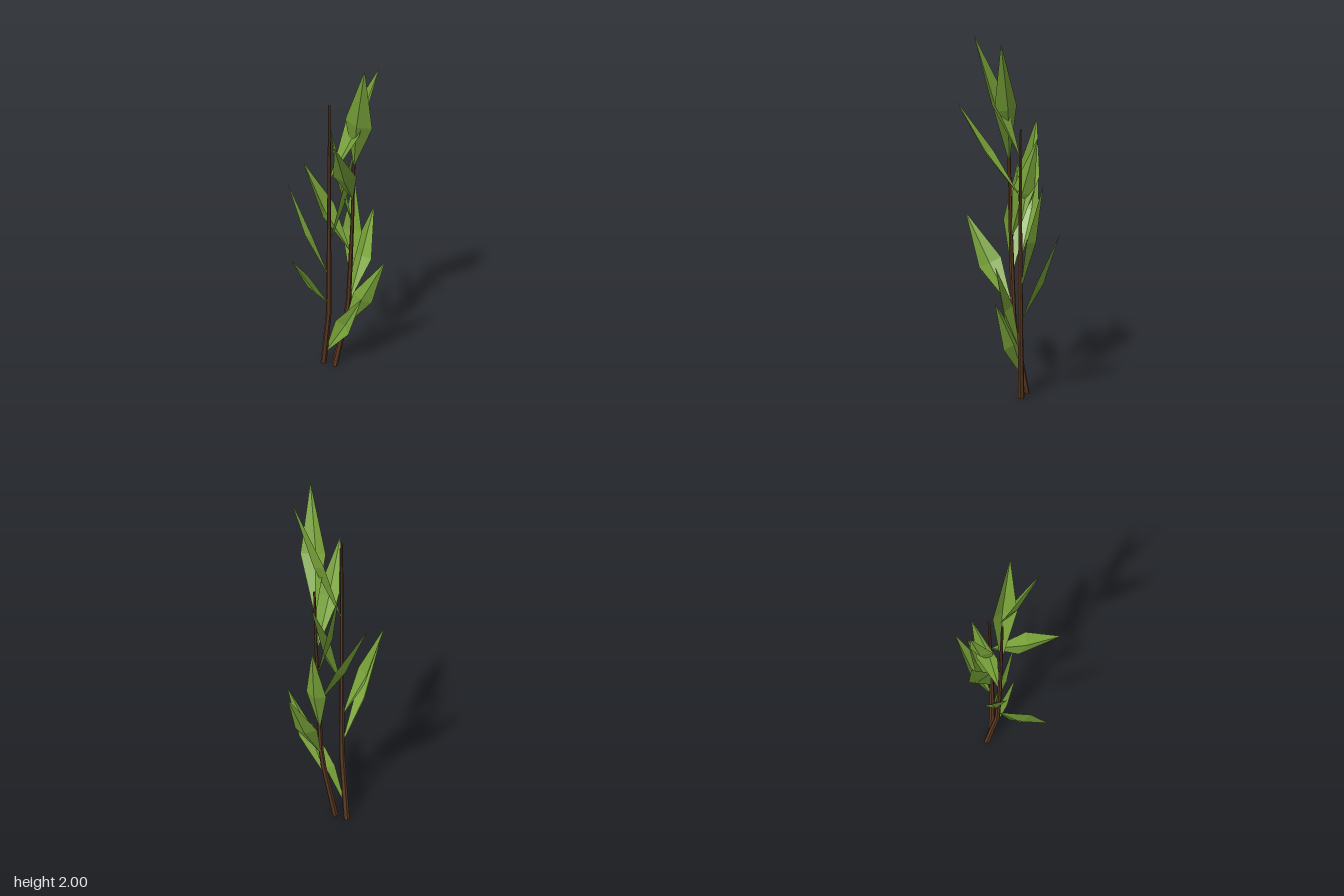
import * as THREE from 'three';

const V = (x, y, z) => new THREE.Vector3(x, y, z);
const bark = new THREE.MeshStandardMaterial({ color: 0x5a3822, flatShading: true });
const green = new THREE.MeshStandardMaterial({ color: 0x7aa53a, flatShading: true, side: THREE.DoubleSide });

// Each stem: path from ground to top. Each leaf: height on the stem,
// tip position, and horizontal spread [x, z] between its two side corners.
const stems = [
  {
    name: 'tallStem',
    path: [V(-0.033, 0, -0.148), V(-0.027, 0.45, -0.069), V(-0.03, 1.1, -0.048), V(-0.03, 1.76, -0.034)],
    leaves: [
      [0.09, [0.115, 0.615, 0.08], [0.045, 0.09]],
      [0.515, [-0.31, 1.02, 0.13], [0.007, 0.13]],
      [0.71, [-0.223, 1.315, -0.151], [-0.01, 0.13]],
      [0.925, [0.16, 1.49, -0.137], [-0.055, 0.1]],
      [1.335, [0.187, 1.96, 0.065], [0.02, 0.125]],
    ],
  },
  {
    name: 'shortStem',
    path: [V(0.022, 0, -0.1), V(0.095, 0.45, -0.07), V(0.11, 1.0, -0.062), V(0.118, 1.53, -0.06)],
    leaves: [
      [0.3, [0.233, 0.85, 0.11], [0.085, 0.07]],
      [0.48, [0.31, 1.02, -0.21], [0.1, 0.075]],
      [0.66, [0.167, 1.25, -0.168], [0.085, 0.08]],
      [0.84, [-0.105, 1.37, -0.228], [0.1, -0.08]],
      [1.02, [0.028, 1.58, -0.176], [0.06, -0.105]],
      [1.18, [-0.108, 1.665, 0.224], [0.1, 0.065]],
      [1.38, [0.063, 2.0, 0.169], [0.1, 0.1]],
    ],
  },
];

// Point on a stem's centre line at height y
function pointAt(path, y) {
  let i = 0;
  while (i < path.length - 2 && y > path[i + 1].y) i++;
  const t = (y - path[i].y) / (path[i + 1].y - path[i].y);
  return path[i].clone().lerp(path[i + 1], t);
}

// Tapered six-sided stem that follows its path
function makeStem(path) {
  const h = path[path.length - 1].y;
  const geo = new THREE.CylinderGeometry(0.006, 0.019, h, 6, 12);
  geo.translate(0, h / 2, 0);
  const pos = geo.attributes.position;
  for (let i = 0; i < pos.count; i++) {
    const c = pointAt(path, pos.getY(i));
    pos.setX(i, pos.getX(i) + c.x);
    pos.setZ(i, pos.getZ(i) + c.z);
  }
  geo.computeVertexNormals();
  return new THREE.Mesh(geo, bark);
}

// Kite-shaped leaf of four facets, creased along the midrib
function makeLeaf(base, tip, [sx, sz]) {
  const dir = tip.clone().sub(base);
  // tilt the spread so that it lies square to the midrib
  const side = V(sx, -(dir.x * sx + dir.z * sz) / dir.y, sz).multiplyScalar(0.5);
  const normal = dir.clone().cross(side).normalize();
  if (normal.y < 0) {
    normal.negate();
    side.negate();
  }
  const middle = base.clone().lerp(tip, 0.48);
  const a = middle.clone().add(side);
  const b = middle.clone().sub(side);
  const rib = middle.clone().addScaledVector(normal, -0.028);
  const geo = new THREE.BufferGeometry().setFromPoints([
    base, rib, a, rib, tip, a, base, b, rib, rib, b, tip,
  ]);
  geo.computeVertexNormals();
  return new THREE.Mesh(geo, green);
}

export function createModel() {
  const plant = new THREE.Group();
  plant.name = 'leafyPlant';
  for (const { name, path, leaves } of stems) {
    const stem = makeStem(path);
    stem.name = name;
    plant.add(stem);
    leaves.forEach(([y, tip, spread], i) => {
      const leaf = makeLeaf(pointAt(path, y), V(...tip), spread);
      leaf.name = `${name}Leaf${i + 1}`;
      plant.add(leaf);
    });
  }
  return plant;
}
